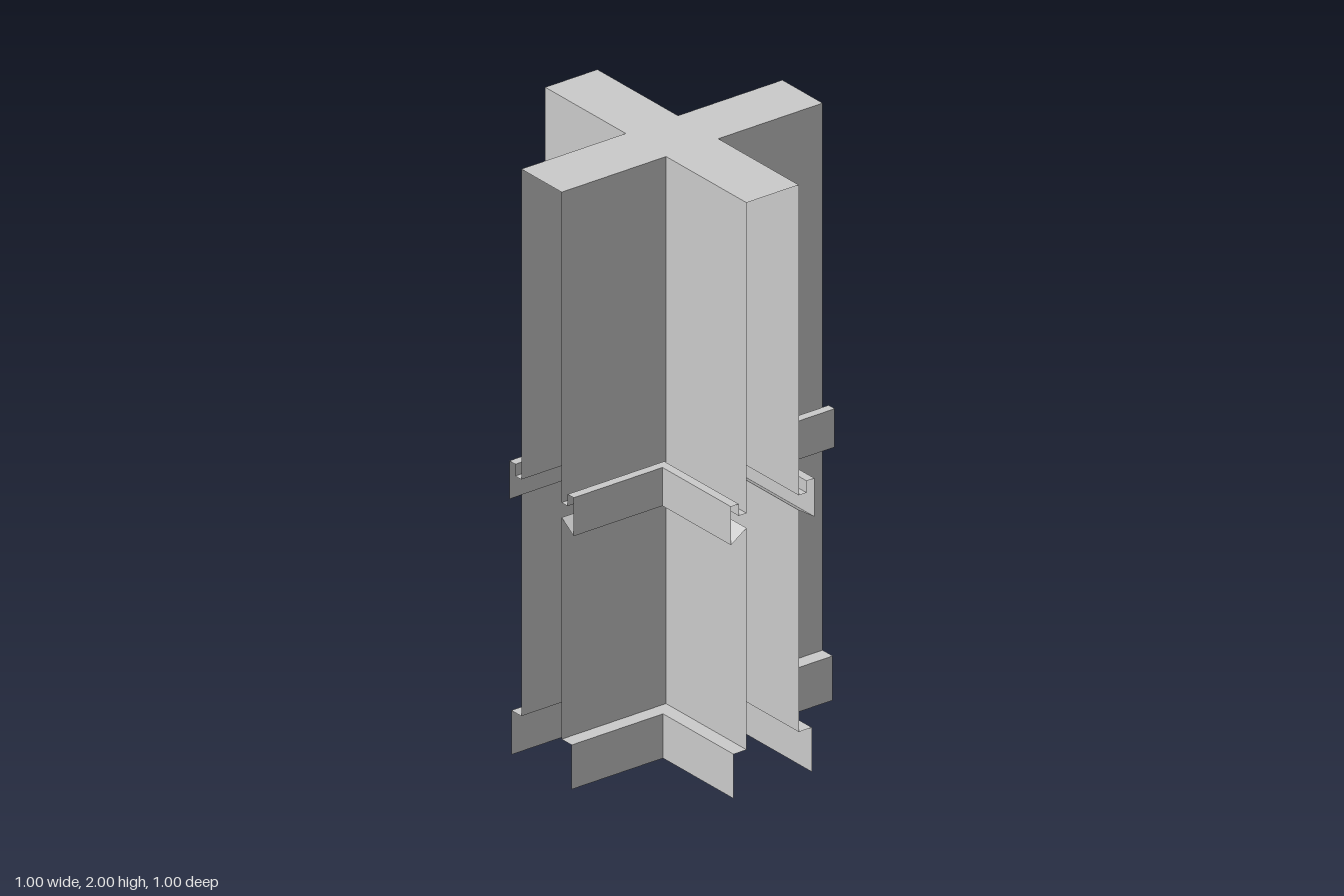
import * as THREE from 'three';

const HALF = 0.5;   // arm length
const WALL = 0.1;   // half thickness of each arm
const material = new THREE.MeshStandardMaterial({ color: 0xcccccc, flatShading: true, side: THREE.DoubleSide });

// Sweeps a profile of [offset, y] points around one inner corner, mitred at the corner
function cornerSweep(name, profile) {
  const positions = [];
  const row = ([d, y]) => [[HALF, y, d], [d, y, d], [d, y, HALF]];
  for (let i = 0; i < profile.length - 1; i++) {
    const top = row(profile[i]);
    const low = row(profile[i + 1]);
    for (let j = 0; j < 2; j++) {
      const [a, b, c, d] = [top[j], top[j + 1], low[j + 1], low[j]];
      positions.push(...a, ...b, ...c, ...a, ...c, ...d);
    }
  }
  const geometry = new THREE.BufferGeometry();
  geometry.setAttribute('position', new THREE.Float32BufferAttribute(positions, 3));
  geometry.computeVertexNormals();
  const mesh = new THREE.Mesh(geometry, material);
  mesh.name = name;
  return mesh;
}

// Cross-shaped top cap
function topCap() {
  const shape = new THREE.Shape();
  const arm = [[HALF, -WALL], [HALF, WALL], [WALL, WALL]];
  for (let q = 0; q < 4; q++) {
    const turn = new THREE.Vector2();
    arm.forEach(([x, y], i) => {
      turn.set(x, y).rotateAround(new THREE.Vector2(), q * Math.PI / 2);
      if (q === 0 && i === 0) shape.moveTo(turn.x, turn.y);
      else shape.lineTo(turn.x, turn.y);
    });
  }
  const mesh = new THREE.Mesh(new THREE.ShapeGeometry(shape).rotateX(-Math.PI / 2), material);
  mesh.position.y = 2;
  mesh.name = 'topCap';
  return mesh;
}

export function createModel() {
  const model = new THREE.Group();
  model.name = 'crossWall';
  model.add(topCap());

  // Four identical corners between the arms; arm ends stay open
  for (let q = 0; q < 4; q++) {
    const corner = new THREE.Group();
    corner.name = 'wallCorner' + (q + 1);
    corner.add(
      cornerSweep('upperWall', [[WALL, 2], [WALL, 0.95]]),
      cornerSweep('grooveRail', [[WALL, 0.95], [0.13, 0.95], [0.13, 0.99], [0.16, 0.99], [0.16, 0.86], [WALL, 0.9]]),
      cornerSweep('lowerWall', [[WALL, 0.9], [WALL, 0.15]]),
      cornerSweep('baseboard', [[WALL, 0.15], [0.15, 0.15], [0.15, 0]])
    );
    corner.rotation.y = q * Math.PI / 2;
    model.add(corner);
  }
  return model;
}
